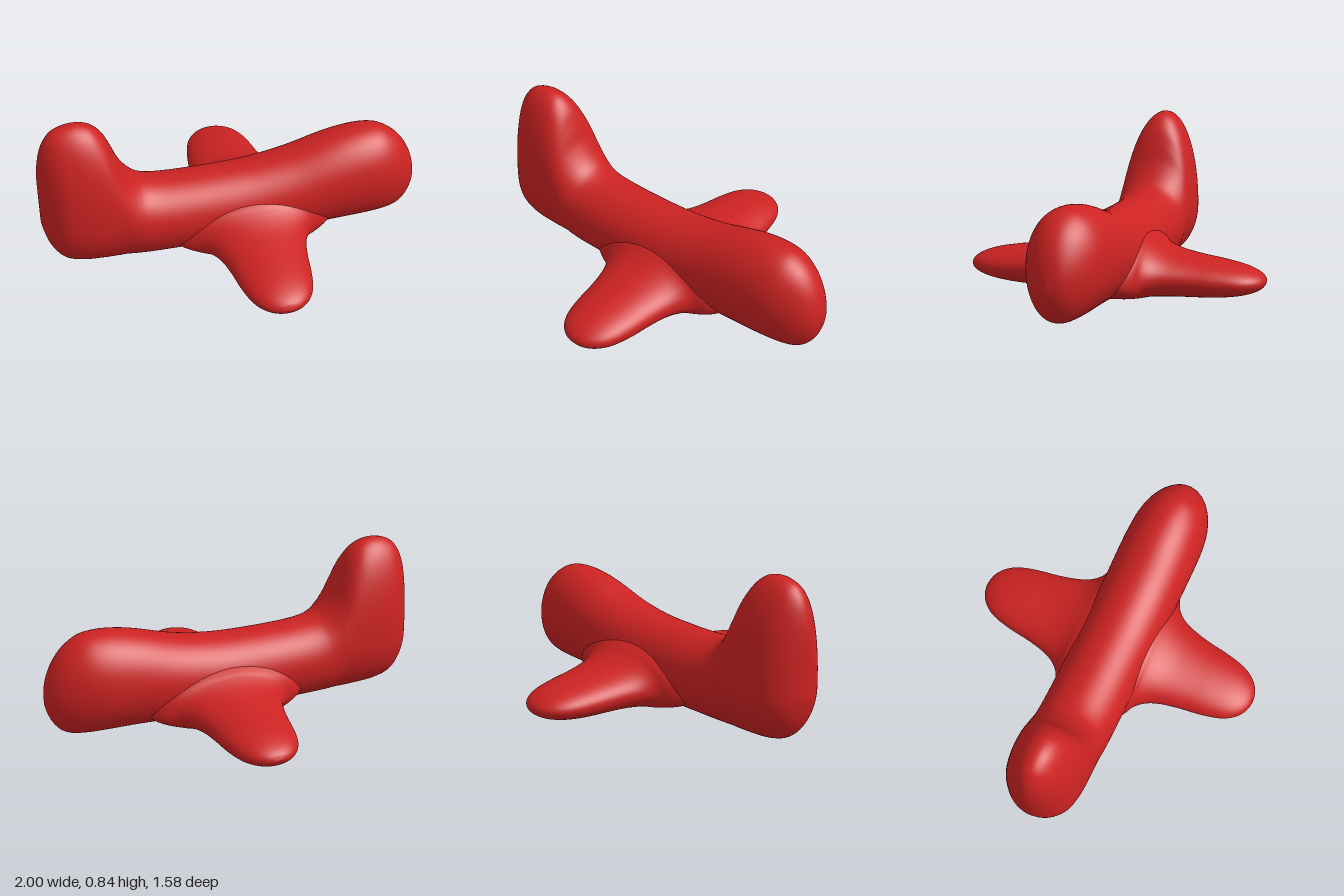
import * as THREE from 'three';
import { mergeVertices } from 'three/addons/utils/BufferGeometryUtils.js';

const material = new THREE.MeshStandardMaterial({ color: 0xcc2222 });

// Smooth loft through egg-shaped sections; stations are [position, top, bottom, halfWidth].
// The widest height of each section is its middle, but never above maxMid.
function loft(stations, maxMid, place, steps = 160, sides = 64) {
  const spline = (a, b, c) => new THREE.CatmullRomCurve3(
    stations.map(s => new THREE.Vector3(s[a], s[b], s[c])), false, 'catmullrom', 0.5);
  const heights = spline(0, 1, 2), widths = spline(0, 3, 3);
  const positions = [], index = [];
  for (let i = 0; i <= steps; i++) {
    const { x: p, y: top, z: bottom } = heights.getPoint(i / steps);
    const half = Math.max(0, widths.getPoint(i / steps).y);
    const mid = Math.min((top + bottom) / 2, maxMid);
    for (let j = 0; j < sides; j++) {
      const a = (j / sides) * Math.PI * 2, c = Math.cos(a);
      const y = mid + c * (c > 0 ? top - mid : mid - bottom);
      positions.push(...place(p, y, half * Math.sin(a)));
      if (i < steps) {
        const k = i * sides + j, n = i * sides + (j + 1) % sides;
        index.push(k, n, k + sides, n, n + sides, k + sides);
      }
    }
  }
  const geometry = new THREE.BufferGeometry();
  geometry.setAttribute('position', new THREE.Float32BufferAttribute(positions, 3));
  geometry.setIndex(index);
  const merged = mergeVertices(geometry, 1e-5);
  merged.computeVertexNormals();
  return merged;
}

export function createModel() {
  const group = new THREE.Group();
  const add = (name, geometry) => {
    const mesh = new THREE.Mesh(geometry, material);
    mesh.name = name;
    group.add(mesh);
  };

  // Fuselage, rising into the tail fin at -x and a plump nose at +x
  add('fuselageAndFin', loft([
    [-1, 0.52, 0.29, 0],
    [-0.995, 0.61, 0.25, 0.044],
    [-0.97, 0.72, 0.16, 0.1],
    [-0.93, 0.79, 0.09, 0.145],
    [-0.88, 0.825, 0.05, 0.177],
    [-0.8, 0.84, 0.03, 0.195],
    [-0.72, 0.82, 0.024, 0.2],
    [-0.66, 0.76, 0.021, 0.2],
    [-0.62, 0.675, 0.02, 0.2],
    [-0.58, 0.575, 0.02, 0.2],
    [-0.52, 0.49, 0.02, 0.2],
    [-0.45, 0.447, 0.02, 0.2],
    [-0.32, 0.43, 0.018, 0.2],
    [-0.1, 0.427, 0.012, 0.2],
    [0.1, 0.435, 0.01, 0.203],
    [0.3, 0.467, 0.016, 0.206],
    [0.5, 0.525, 0.024, 0.208],
    [0.62, 0.55, 0.026, 0.207],
    [0.72, 0.557, 0.026, 0.2],
    [0.8, 0.545, 0.027, 0.184],
    [0.87, 0.505, 0.034, 0.157],
    [0.92, 0.455, 0.055, 0.127],
    [0.96, 0.39, 0.1, 0.092],
    [0.985, 0.32, 0.155, 0.056],
    [1, 0.24, 0.21, 0],
  ], 0.3, (p, y, h) => [p, y, h + 0.008]));

  // Wings, one flared span crossing under the body
  const half = [
    [0, 0.34, 0.004, 0.44],
    [0.1, 0.335, 0.005, 0.43],
    [0.16, 0.322, 0.007, 0.41],
    [0.2, 0.303, 0.008, 0.36],
    [0.23, 0.285, 0.01, 0.3],
    [0.28, 0.262, 0.011, 0.255],
    [0.35, 0.24, 0.013, 0.225],
    [0.45, 0.222, 0.016, 0.202],
    [0.55, 0.208, 0.021, 0.187],
    [0.64, 0.192, 0.032, 0.167],
    [0.7, 0.176, 0.045, 0.143],
    [0.745, 0.158, 0.061, 0.109],
    [0.775, 0.138, 0.08, 0.067],
    [0.788, 0.117, 0.103, 0.025],
    [0.79, 0.11, 0.11, 0],
  ];
  const span = [...half.slice(1).reverse().map(([p, ...s]) => [-p, ...s]), ...half];
  add('wings', loft(span, 0.125, (p, y, h) => [0.08 - h, y, p]));

  return group;
}
